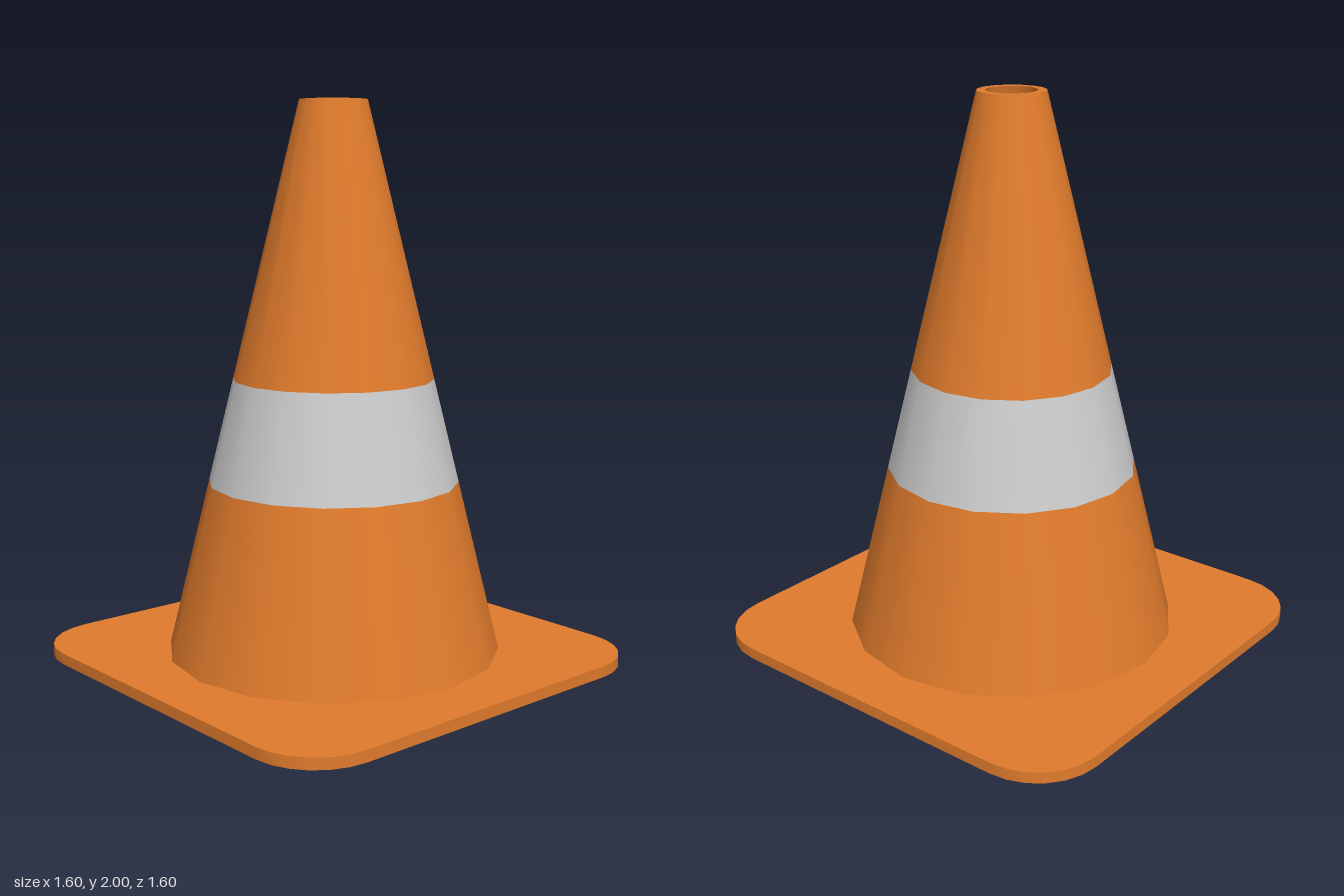
import * as THREE from 'three';
import { toCreasedNormals } from 'three/addons/utils/BufferGeometryUtils.js';

const SIDES = 16;
const BASE_TOP = 0.04;
const HEIGHT = 2;
const orange = new THREE.MeshStandardMaterial({ color: 0xe07b2c });
const grey = new THREE.MeshStandardMaterial({ color: 0xcccccc });

// Outer radius of the cone at a given height
const outerRadius = (y) => THREE.MathUtils.mapLinear(y, BASE_TOP, HEIGHT, 0.6, 0.12);

function addMesh(group, name, geometry, material) {
  const mesh = new THREE.Mesh(geometry, material);
  mesh.name = name;
  group.add(mesh);
}

// Ring of wall between two [radius, height] points; upward faces outward, downward faces inward
function ring(from, to) {
  return new THREE.LatheGeometry([new THREE.Vector2(...from), new THREE.Vector2(...to)], SIDES);
}

// Square plate with rounded corners and a round opening
function basePlateGeometry(half, corner, holeRadius) {
  const c = half - corner;
  const shape = new THREE.Shape();
  [[c, c], [-c, c], [-c, -c], [c, -c]].forEach(([x, y], i) => {
    shape.absarc(x, y, corner, i * Math.PI / 2, (i + 1) * Math.PI / 2, false);
  });
  shape.closePath();
  const hole = [];
  for (let i = 0; i < SIDES; i++) {
    const a = -i / SIDES * Math.PI * 2;
    hole.push(new THREE.Vector2(Math.cos(a) * holeRadius, Math.sin(a) * holeRadius));
  }
  shape.holes.push(new THREE.Path(hole));
  const geometry = new THREE.ExtrudeGeometry(shape, { depth: BASE_TOP, bevelEnabled: false, curveSegments: 3 });
  geometry.rotateX(-Math.PI / 2);
  return toCreasedNormals(geometry, THREE.MathUtils.degToRad(40));
}

export function createModel() {
  const model = new THREE.Group();
  model.name = 'trafficCone';

  addMesh(model, 'basePlate', basePlateGeometry(0.8, 0.24, 0.57), orange);

  // Outer wall in three flush bands
  const bands = [
    ['lowerCone', BASE_TOP, 0.655, orange],
    ['reflectiveBand', 0.655, 1.025, grey],
    ['upperCone', 1.025, HEIGHT, orange],
  ];
  for (const [name, y0, y1, material] of bands) {
    addMesh(model, name, ring([outerRadius(y0), y0], [outerRadius(y1), y1]), material);
  }

  // Open top rim and hollow inside
  addMesh(model, 'topRim', ring([0.12, HEIGHT], [0.09, HEIGHT]), orange);
  addMesh(model, 'innerWall', ring([0.09, HEIGHT], [0.57, BASE_TOP]), orange);

  return model;
}
